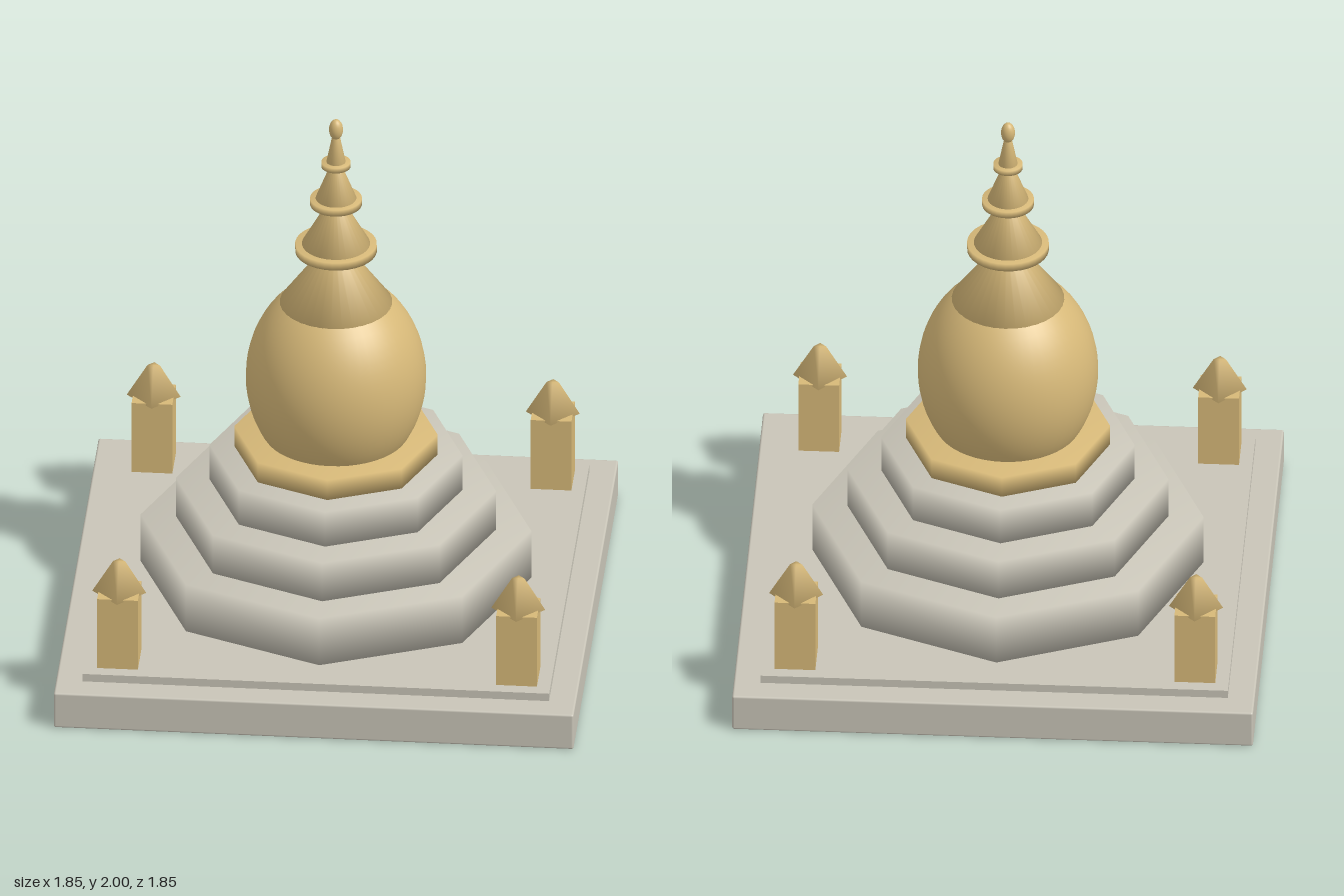
import * as THREE from 'three';
import { RoundedBoxGeometry } from 'three/addons/geometries/RoundedBoxGeometry.js';

export function createModel() {
  const model = new THREE.Group();
  const stone = new THREE.MeshStandardMaterial({ name: 'stone', color: 0xc8c4b7 });
  const gold = new THREE.MeshStandardMaterial({ name: 'gold', color: 0xd6b878 });

  const add = (name, geometry, material, x, y, z, parent = model) => {
    const mesh = new THREE.Mesh(geometry, material);
    mesh.name = name;
    mesh.position.set(x, y, z);
    parent.add(mesh);
    return mesh;
  };
  // Closed turned solid with soft shading over its edges
  const turned = (profile, sides) =>
    new THREE.LatheGeometry(profile.map(([r, y]) => new THREE.Vector2(r, y)), sides);
  const drum = (r, y0, y1, sides) => turned([[0, y0], [r, y0], [r, y1], [0, y1]], sides);
  const cone = (r0, y0, r1, y1, sides) => turned([[0, y0], [r0, y0], [r1, y1], [0, y1]], sides);

  // Square platform
  add('plinth', new RoundedBoxGeometry(1.85, 0.14, 1.85, 2, 0.008), stone, 0, 0.07, 0);
  add('plinthStep', new THREE.BoxGeometry(1.66, 0.05, 1.66), stone, 0, 0.145, 0);

  // Octagonal terraces
  [[0.695, 0.17, 0.36], [0.57, 0.36, 0.515], [0.45, 0.515, 0.655]].forEach(([r, y0, y1], i) =>
    add(`terrace${i + 1}`, drum(r, y0, y1, 8), stone, 0, 0, 0));
  add('domeBase', drum(0.362, 0.655, 0.735, 8), gold, 0, 0, 0);

  // Egg-shaped dome
  add('dome', new THREE.SphereGeometry(0.32, 48, 32), gold, 0, 0.96, 0).scale.y = 1.2;

  // Spire of stacked cones and rings
  const spire = new THREE.Group();
  spire.name = 'spire';
  model.add(spire);
  [[0.2, 1.26, 0.04, 1.48], [0.125, 1.49, 0.025, 1.67], [0.075, 1.675, 0.018, 1.82], [0.035, 1.825, 0.012, 1.94]]
    .forEach(([r0, y0, r1, y1], i) => add(`spireCone${i + 1}`, cone(r0, y0, r1, y1, 32), gold, 0, 0, 0, spire));
  [[0.145, 1.467, 1.497], [0.092, 1.657, 1.682], [0.052, 1.81, 1.83]]
    .forEach(([r, y0, y1], i) => add(`spireRing${i + 1}`, drum(r, y0, y1, 32), gold, 0, 0, 0, spire));
  add('finial', new THREE.SphereGeometry(0.025, 20, 14), gold, 0, 1.96, 0, spire).scale.y = 1.6;

  // Corner posts with pointed caps turned to a diamond
  for (const x of [-0.71, 0.71]) {
    for (const z of [-0.71, 0.71]) {
      const post = new THREE.Group();
      post.name = 'cornerPost';
      post.position.set(x, 0, z);
      model.add(post);
      add('postShaft', new THREE.BoxGeometry(0.145, 0.28, 0.145), gold, 0, 0.31, 0, post);
      add('postCap', cone(0.096, 0.443, 0.022, 0.567, 4), gold, 0, 0, 0, post);
    }
  }
  return model;
}
